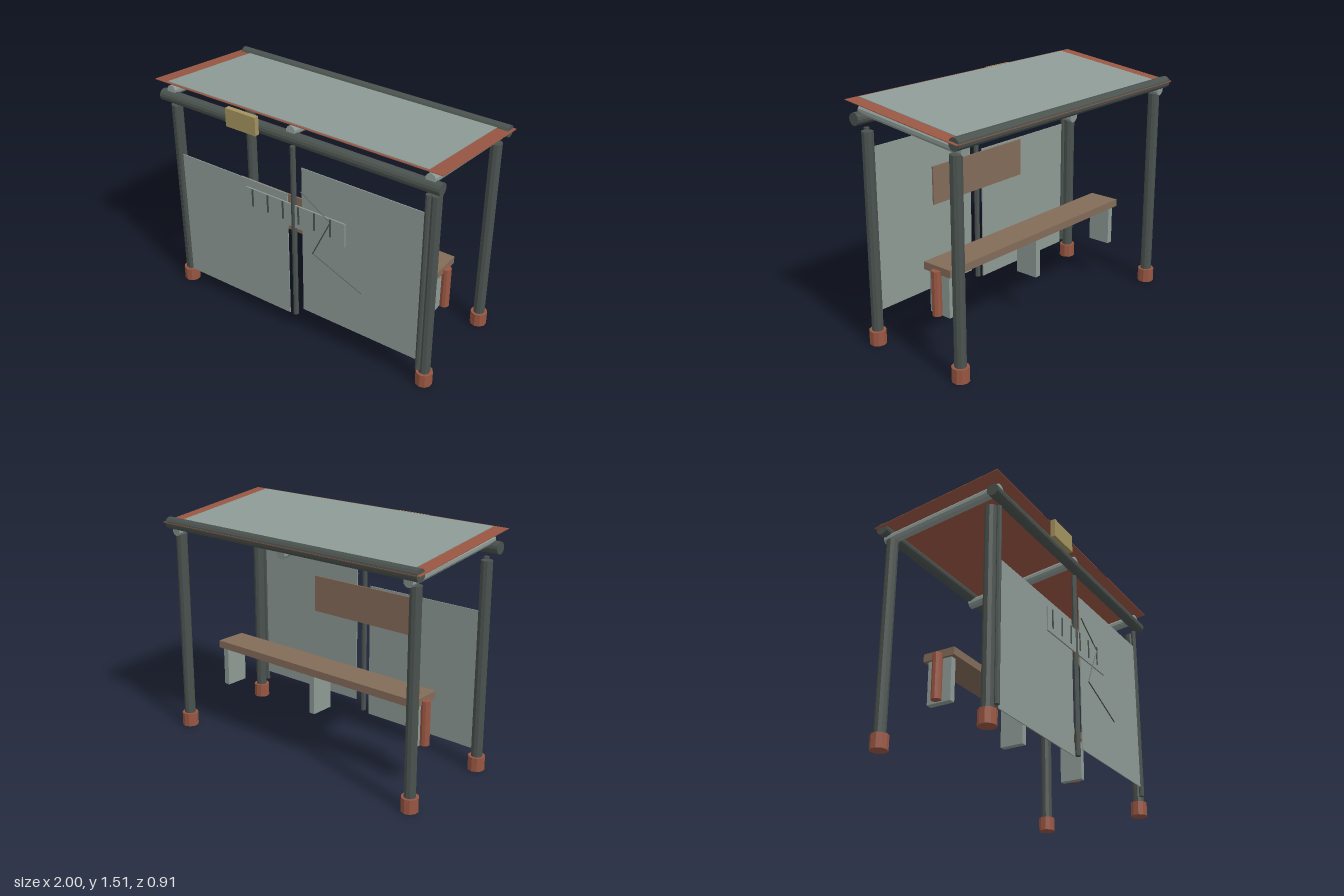
import * as THREE from 'three';

const mat = (name, color) => Object.assign(new THREE.MeshStandardMaterial({ color }), { name });

export function createModel() {
  const root = new THREE.Group();
  root.name = 'shelter';

  const steel = mat('dark steel', 0x4a524e);
  const grey = mat('pale grey', 0x8d9a95);
  const rust = mat('rust red', 0x985642);
  const wood = mat('weathered wood', 0x836b58);
  const ochre = mat('ochre', 0xa3935f);
  for (const m of [steel, grey, rust, wood, ochre]) m.flatShading = true;

  // Box given by its minimum and maximum on each axis
  function box(name, m, [x0, x1], [y0, y1], [z0, z1], parent = root) {
    const mesh = new THREE.Mesh(new THREE.BoxGeometry(x1 - x0, y1 - y0, z1 - z0), m);
    mesh.position.set((x0 + x1) / 2, (y0 + y1) / 2, (z0 + z1) / 2);
    mesh.name = name;
    parent.add(mesh);
    return mesh;
  }

  // Cylinder running between two points
  function rod(name, m, a, b, r, sides = 10) {
    const p = new THREE.Vector3(...a), q = new THREE.Vector3(...b);
    const dir = q.clone().sub(p);
    const mesh = new THREE.Mesh(new THREE.CylinderGeometry(r, r, dir.length(), sides), m);
    mesh.position.copy(p).add(q).multiplyScalar(0.5);
    mesh.quaternion.setFromUnitVectors(new THREE.Vector3(0, 1, 0), dir.normalize());
    mesh.name = name;
    root.add(mesh);
    return mesh;
  }

  // Corner posts and their feet
  for (const x of [-0.922, 0.922]) {
    for (const z of [0.321, -0.372]) {
      rod('post', steel, [x, 0.05, z], [x, 1.325, z], 0.036);
      rod('foot', rust, [x, 0, z], [x, 0.09, z], 0.053);
    }
  }

  // Slim uprights holding the front panels
  for (const x of [-0.895, 0, 0.895]) {
    rod('panelUpright', steel, [x, 0.123, 0.358], [x, 1.335, 0.358], 0.017, 8);
  }

  // Long beams and sloping rafters
  for (const z of [0.365, -0.414]) {
    rod('beam', steel, [-0.98, 1.396, z], [0.98, 1.396, z], 0.038, 14);
  }
  for (const x of [-0.909, 0, 0.909]) {
    rod('rafter', grey, [x, 1.441, 0.375], [x, 1.35, -0.427], 0.032, 10);
  }

  // Sloping roof: sheet with a paler covering on top
  const roof = new THREE.Group();
  roof.name = 'roof';
  roof.position.set(0, 1.453, -0.022);
  roof.rotation.x = -Math.atan2(0.105, 0.86);
  box('roofSheet', rust, [-1, 1], [-0.002, 0.002], [-0.434, 0.434], roof);
  box('roofCover', grey, [-0.909, 0.909], [0.003, 0.006], [-0.425, 0.419], roof);
  root.add(roof);

  // Front panels
  box('leftPanel', grey, [-0.873, -0.048], [0.108, 1.0], [0.353, 0.359]);
  box('rightPanel', grey, [0.06, 0.877], [0.184, 1.213], [0.353, 0.359]);

  // Narrow plate with a row of dark marks
  box('frontPlate', grey, [-0.36, 0.371], [0.787, 0.946], [0.359, 0.368]);
  for (let i = 0; i < 6; i++) {
    const x = -0.305 + i * 0.115;
    box('plateMark', steel, [x - 0.006, x + 0.006], [0.822, 0.944], [0.368, 0.372]);
  }

  // Jagged crack on the right panel
  const crack = [[0.06, 1.058], [0.27, 0.92], [0.143, 0.652], [0.49, 0.505]];
  for (let i = 0; i < crack.length - 1; i++) {
    rod('crack', steel, [...crack[i], 0.37], [...crack[i + 1], 0.37], 0.004, 4);
  }

  // Board behind the panels
  box('backBoard', wood, [-0.41, 0.41], [0.743, 0.99], [0.335, 0.345]);

  // Bench with box supports and end rods
  box('benchSeat', wood, [-0.806, 0.806], [0.53, 0.578], [-0.188, 0.02]);
  for (const x of [-0.77, 0, 0.77]) {
    box('benchSupport', grey, [x - 0.02, x + 0.02], [0.267, 0.53], [-0.164, -0.008]);
  }
  for (const x of [-0.813, 0.813]) {
    rod('benchEndRod', rust, [x, 0.275, -0.086], [x, 0.555, -0.086], 0.03);
  }

  // Sign hung at the front
  box('sign', ochre, [-0.412, -0.193], [1.38, 1.498], [0.42, 0.452]);

  return root;
}
